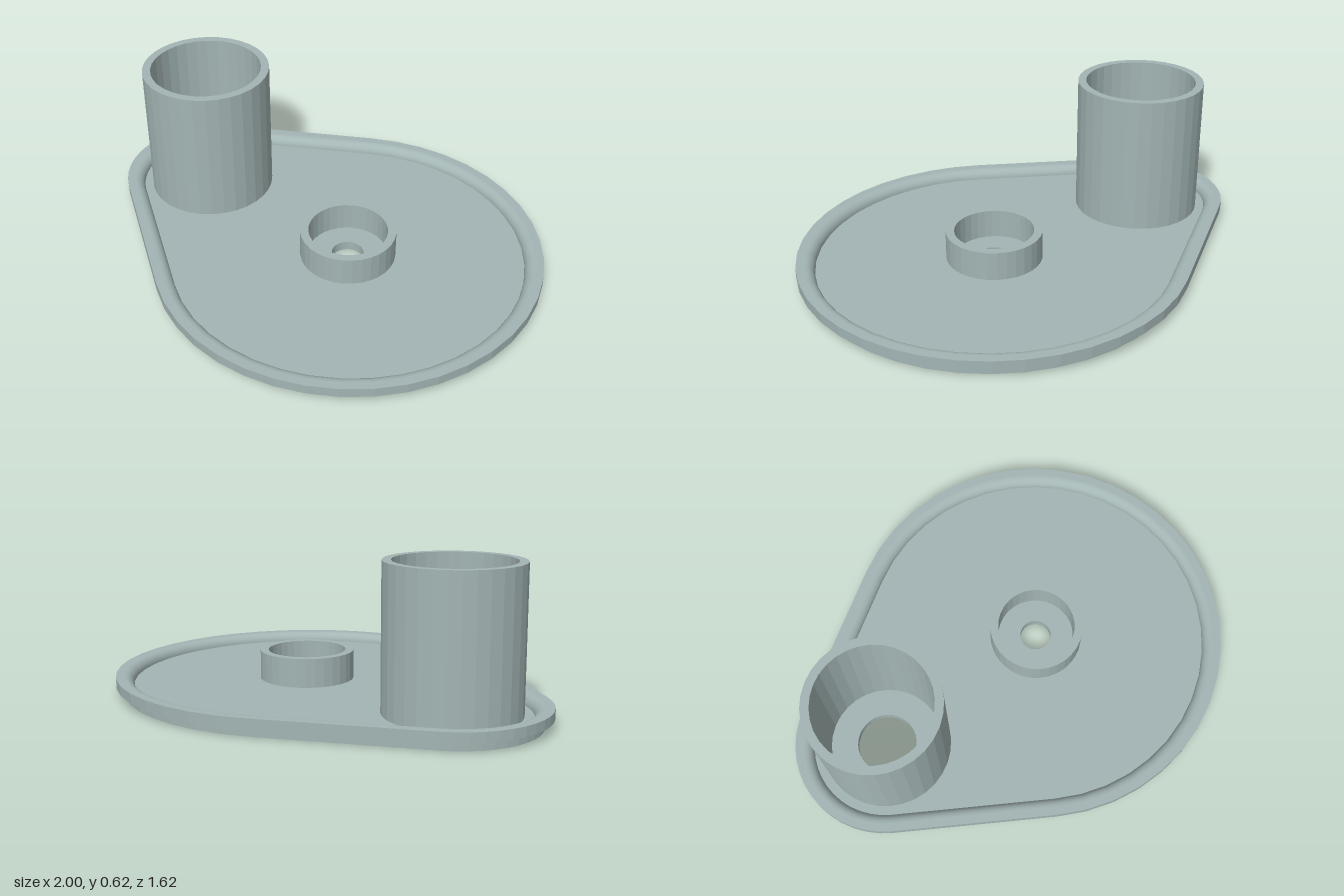
import * as THREE from 'three';

const BIG = { x: 0.19, r: 0.81 };
const SMALL = { x: -0.615, r: 0.385 };
const FLOOR = 0.04, RIM_TOP = 0.08, FOOT_INSET = 0.037;

// Teardrop outline: two arcs joined by their tangents, shrunk by an inset
function outline(inset) {
  const t = Math.acos((SMALL.r - BIG.r) / (BIG.x - SMALL.x));
  const points = [];
  const arc = (c, from, to, n) => {
    for (let i = 0; i <= n; i++) {
      const a = from + (to - from) * i / n;
      points.push(new THREE.Vector2(c.x + (c.r - inset) * Math.cos(a), (c.r - inset) * Math.sin(a)));
    }
  };
  arc(BIG, -t, t, 28);
  arc(SMALL, t, 2 * Math.PI - t, 14);
  return points;
}

// Sweeps a profile of [inset, y] pairs around the outline
function sweep(profile, faceted) {
  const position = [], index = [];
  const n = outline(0).length;
  for (const [inset, y] of profile) {
    for (const p of outline(inset)) position.push(p.x, y, -p.y);
  }
  for (let j = 0; j < profile.length - 1; j++) {
    for (let i = 0; i < n; i++) {
      const k = (i + 1) % n;
      const a = j * n + i, b = j * n + k, c = a + n, d = b + n;
      index.push(a, b, d, a, d, c);
    }
  }
  let geometry = new THREE.BufferGeometry();
  geometry.setAttribute('position', new THREE.Float32BufferAttribute(position, 3));
  geometry.setIndex(index);
  if (faceted) geometry = geometry.toNonIndexed();
  geometry.computeVertexNormals();
  return geometry;
}

function circle(path, x, r) {
  path.absarc(x, 0, r, 0, Math.PI * 2, false);
  return path;
}

// Upright extrusion from y0 to y1
function extrude(shape, y0, y1) {
  const geometry = new THREE.ExtrudeGeometry(shape, { depth: y1 - y0, bevelEnabled: false, curveSegments: 16 });
  return geometry.rotateX(-Math.PI / 2).translate(0, y0, 0);
}

function tube(x, outer, inner, top) {
  const shape = circle(new THREE.Shape(), x, outer);
  shape.holes.push(circle(new THREE.Path(), x, inner));
  return extrude(shape, FLOOR, top);
}

export function createModel() {
  const group = new THREE.Group();
  const material = new THREE.MeshStandardMaterial({ color: 0xa3b5b4 });
  material.name = 'pale grey green';
  const add = (name, geometry) => {
    const mesh = new THREE.Mesh(geometry, material);
    mesh.name = name;
    group.add(mesh);
  };

  // Floor plate with a through hole under each tube
  const plate = new THREE.Shape(outline(FOOT_INSET));
  plate.holes.push(circle(new THREE.Path(), SMALL.x, 0.125), circle(new THREE.Path(), BIG.x, 0.067));
  add('basePlate', extrude(plate, 0, FLOOR));

  // Overhanging rim with a rounded inner lip
  const flat = 0.035, round = RIM_TOP - FLOOR;
  add('rim', sweep([[FOOT_INSET, FLOOR], [0, FLOOR], [0, RIM_TOP], [flat, RIM_TOP]], true));
  const lip = [];
  for (let i = 0; i <= 8; i++) {
    const a = i / 8 * Math.PI / 2;
    lip.push([flat + round * Math.sin(a), FLOOR + round * Math.cos(a)]);
  }
  add('roundedLip', sweep(lip, false));

  // Hollow posts
  add('tallTube', tube(SMALL.x, 0.272, 0.237, 0.625));
  add('shortCollar', tube(BIG.x, 0.2, 0.165, 0.162));

  return group;
}
